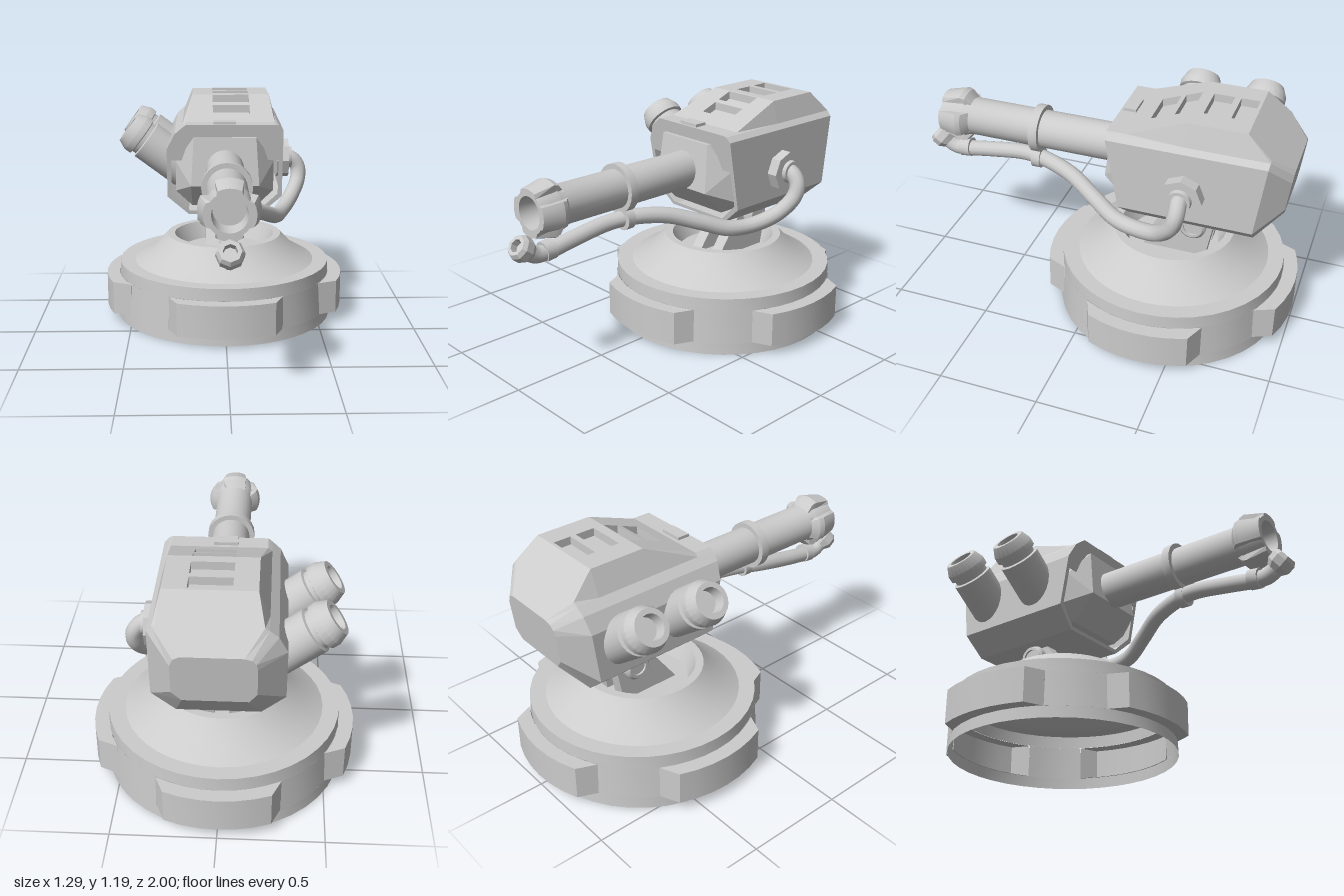
import * as THREE from 'three';
import { toCreasedNormals } from 'three/addons/utils/BufferGeometryUtils.js';
import { ConvexGeometry } from 'three/addons/geometries/ConvexGeometry.js';

const smooth = new THREE.MeshStandardMaterial({ color: 0xcccccc, side: THREE.DoubleSide });
const flat = new THREE.MeshStandardMaterial({ color: 0xcccccc, side: THREE.DoubleSide, flatShading: true });

const BASE_Z = -0.36;

const vec2 = (list) => list.map(([a, b]) => new THREE.Vector2(a, b));
const vec3 = (list) => list.map((p) => new THREE.Vector3(...p));

function add(parent, name, geometry, material = flat) {
  const mesh = new THREE.Mesh(geometry, material);
  mesh.name = name;
  parent.add(mesh);
  return mesh;
}

// Turned part around y, given [radius, height] pairs
const turned = (profile, segments = 32, start = 0, sweep = Math.PI * 2) =>
  toCreasedNormals(new THREE.LatheGeometry(vec2(profile), segments, start, sweep), 0.45);

// Raised part of a ring, centred on +z, whose ends slope down to the inner radius
function raisedSector(profile, half, segments, inner) {
  const geometry = new THREE.LatheGeometry(vec2(profile), segments, -half, half * 2);
  const p = geometry.attributes.position;
  for (let i = 0; i < p.count; i++) {
    const r = Math.hypot(p.getX(i), p.getZ(i));
    if (Math.abs(Math.atan2(p.getX(i), p.getZ(i))) > half - 0.01) {
      p.setX(i, p.getX(i) * inner / r);
      p.setZ(i, p.getZ(i) * inner / r);
    }
  }
  return toCreasedNormals(geometry, 0.3);
}

function buildBase() {
  const base = new THREE.Group();
  base.name = 'base';
  base.position.z = BASE_Z;
  add(base, 'baseFoot', turned([[0.585, 0], [0.582, 0.06]], 40), smooth);
  add(base, 'baseTop', turned([
    [0.573, 0.235], [0.57, 0.3], [0.49, 0.3], [0.385, 0.36], [0.31, 0.44], [0.27, 0.44], [0.23, 0.35], [0, 0.35],
  ], 40), smooth);

  // Four hollow blocks with wall panels between them
  const half = 0.53;
  const block = raisedSector([[0.575, 0.06], [0.645, 0.06], [0.645, 0.235], [0.575, 0.235]], half, 8, 0.577);
  const wall = turned([[0.582, 0.06], [0.573, 0.235]], 4, half, Math.PI / 2 - 2 * half);
  for (let i = 0; i < 4; i++) {
    add(base, 'baseBlock', block, smooth).rotation.y = i * Math.PI / 2;
    add(base, 'baseWall', wall, smooth).rotation.y = i * Math.PI / 2;
  }
  return base;
}

function buildYoke() {
  const yoke = new THREE.Group();
  yoke.name = 'yoke';
  const arm = new THREE.Shape();
  arm.moveTo(-0.55, 0.34);
  arm.lineTo(-0.22, 0.34);
  arm.lineTo(-0.415, 0.605);
  arm.absarc(-0.485, 0.535, 0.1, Math.PI / 4, Math.PI);
  const thickness = 0.065;
  const armGeometry = new THREE.ExtrudeGeometry(arm, { depth: thickness, bevelEnabled: false, curveSegments: 10 })
    .rotateY(-Math.PI / 2).translate(thickness / 2, 0, 0);
  const bolt = turned([[0, -0.06], [0.07, -0.06], [0.07, 0.03], [0.055, 0.045], [0.04, 0.045], [0.04, 0.035], [0, 0.035]], 16)
    .rotateZ(-Math.PI / 2);
  for (const s of [-1, 1]) {
    add(yoke, 'yokeArm', armGeometry).position.x = s * 0.068;
    const b = add(yoke, 'yokeBolt', bolt, smooth);
    b.position.set(s * 0.1, 0.535, -0.485);
    if (s < 0) b.rotation.y = Math.PI;
  }
  return yoke;
}

// Head outline in x, y; only the roof edge varies along the body
const outline = (roof, left, right) => [
  [-0.19, 0.592], [0.19, 0.592], [0.3, 0.69], [0.3, 1.05], [0.275, 1.075],
  [right, roof], [left, roof], [-0.22, 1.065], [-0.26, 1.03], [-0.3, 0.95], [-0.3, 0.69],
];
const LOW = outline(1.08, -0.2, 0.26);
const HIGH = outline(1.187, -0.17, 0.245);
const RAMP = { z0: -0.18, z1: -0.46, z2: -0.745, low: 1.08, high: 1.187 };
const roofY = (z) => THREE.MathUtils.mapLinear(
  THREE.MathUtils.clamp(z, RAMP.z1, RAMP.z0), RAMP.z0, RAMP.z1, RAMP.low, RAMP.high);
const frontZ = (y) => -0.085 - (1.08 - y) * 0.18;

function buildHead() {
  const head = new THREE.Group();
  head.name = 'head';
  const at = (pts, z) => pts.map(([x, y]) => [x, y, typeof z === 'function' ? z(y) : z]);
  const back = [[-0.14, 0.745], [0.15, 0.745], [0.195, 0.79], [0.195, 0.94], [0.18, 0.975],
    [0.15, 0.99], [-0.12, 0.99], [-0.15, 0.98], [-0.17, 0.96], [-0.175, 0.93], [-0.175, 0.79]];
  const sections = [
    at(LOW, frontZ),
    at(LOW, RAMP.z0),
    at(HIGH, RAMP.z1),
    at(HIGH, RAMP.z2),
    at(LOW, (y) => -0.8 - (y - 0.592) * 0.125),
    at(back, (y) => -0.93 - (y - 0.745) * 0.12),
  ];
  const n = back.length, index = [];
  for (let i = 0; i < sections.length - 1; i++) {
    for (let j = 0; j < n; j++) {
      if (j === 5 && (i === 1 || i === 2)) continue; // vented roof goes here
      const a = i * n + j, b = i * n + (j + 1) % n;
      index.push(a, a + n, b, b, a + n, b + n);
    }
  }
  const last = (sections.length - 1) * n;
  for (let j = 1; j < n - 1; j++) index.push(last, last + j + 1, last + j);
  const shell = new THREE.BufferGeometry();
  shell.setAttribute('position', new THREE.Float32BufferAttribute(sections.flat(2), 3));
  shell.setIndex(index);
  shell.computeVertexNormals();
  add(head, 'headShell', shell);

  // Front face with an opening around the barrel mount
  const face = new THREE.Shape(vec2(LOW));
  face.holes.push(new THREE.Path(vec2([[-0.278, 0.89], [-0.278, 0.705], [-0.18, 0.61], [0.18, 0.61], [0.278, 0.705], [0.278, 0.89]])));
  const faceGeometry = new THREE.ShapeGeometry(face);
  const fp = faceGeometry.attributes.position;
  for (let i = 0; i < fp.count; i++) fp.setZ(i, frontZ(fp.getY(i)));
  add(head, 'headFront', faceGeometry);

  // Roof panels with sunken vents; shape y stands for -z
  const x0 = -0.06, x1 = 0.135;
  const panels = [
    { corners: [[-0.2, -RAMP.z0], [0.26, -RAMP.z0], [0.245, -RAMP.z1], [-0.17, -RAMP.z1]], vents: [[0.26, 0.35], [0.375, 0.455]] },
    { corners: [[-0.17, -RAMP.z1], [0.245, -RAMP.z1], [0.245, -RAMP.z2], [-0.17, -RAMP.z2]], vents: [[0.51, 0.61], [0.64, 0.73]] },
  ];
  for (const { corners, vents } of panels) {
    const panel = new THREE.Shape(vec2(corners));
    for (const [a, b] of vents) {
      panel.holes.push(new THREE.Path(vec2([[x0, a], [x0, b], [x1, b], [x1, a]])));
      const pocket = new THREE.BoxGeometry(x1 - x0, 0.04, b - a).translate((x0 + x1) / 2, -0.02, -(a + b) / 2);
      const ids = Array.from(pocket.index.array);
      ids.splice(12, 6); // open top
      pocket.setIndex(ids);
      const pp = pocket.attributes.position;
      for (let i = 0; i < pp.count; i++) pp.setY(i, pp.getY(i) + roofY(pp.getZ(i)));
      add(head, 'ventPocket', pocket);
    }
    const roof = new THREE.ShapeGeometry(panel).rotateX(-Math.PI / 2);
    const rp = roof.attributes.position;
    for (let i = 0; i < rp.count; i++) rp.setY(i, roofY(rp.getZ(i)));
    add(head, 'roofPanel', roof);
  }

  // Faceted mount behind the barrel
  const mount = [];
  for (const s of [-1, 1]) {
    mount.push([s * 0.16, 1.015, -0.075], [s * 0.175, 0.77, -0.045], [s * 0.17, 0.64, -0.17],
      [s * 0.255, 0.88, -0.15], [s * 0.255, 0.72, -0.17],
      [s * 0.16, 1.015, -0.3], [s * 0.255, 0.88, -0.3], [s * 0.255, 0.72, -0.3], [s * 0.17, 0.64, -0.3]);
  }
  add(head, 'barrelMount', new ConvexGeometry(vec3(mount)));
  add(head, 'frontLatch', new THREE.BoxGeometry(0.115, 0.055, 0.065)).position.set(0, 1.067, -0.13);

  // Slanted canisters on the right side
  const canister = turned([[0, -0.1], [0.107, -0.1], [0.107, 0.165], [0.092, 0.17], [0.092, 0.19],
    [0.107, 0.195], [0.107, 0.23], [0.085, 0.28], [0.06, 0.28], [0.055, 0.22], [0, 0.22]], 24);
  for (const z of [-0.68, -0.345]) {
    const c = add(head, 'canister', canister, smooth);
    c.position.set(-0.285, 0.86, z);
    c.rotation.z = 0.927;
  }
  return head;
}

function buildBarrel() {
  const barrel = new THREE.Group();
  barrel.name = 'barrel';
  barrel.position.y = 0.857;
  const tube = [[0, -0.1], [0.097, -0.1], [0.097, 0.34], [0.122, 0.34], [0.122, 0.385], [0.097, 0.385],
    [0.097, 0.73], [0.11, 0.77], [0.102, 0.885], [0.08, 0.885], [0.074, 0.78], [0, 0.78]];
  add(barrel, 'barrelTube', turned(tube, 24).rotateX(Math.PI / 2), smooth);
  // Broad flared prongs with narrow gaps between them
  const prong = raisedSector([[0.097, 0.73], [0.132, 0.76], [0.14, 0.785], [0.115, 0.888], [0.085, 0.888]], 0.62, 8, 0.1)
    .rotateX(Math.PI / 2);
  for (let i = 0; i < 4; i++) add(barrel, 'muzzleProng', prong, smooth).rotation.z = i * Math.PI / 2;
  return barrel;
}

function buildHose() {
  const hose = new THREE.Group();
  hose.name = 'hose';
  const path = new THREE.CatmullRomCurve3(vec3([
    [0.3, 0.84, -0.475], [0.37, 0.835, -0.475], [0.41, 0.785, -0.475], [0.41, 0.72, -0.455],
    [0.365, 0.635, -0.38], [0.305, 0.588, -0.25], [0.265, 0.592, -0.13], [0.2, 0.64, 0], [0.12, 0.693, 0.15],
    [0.055, 0.712, 0.32], [0.015, 0.702, 0.45], [0, 0.67, 0.65], [0, 0.65, 0.79], [0, 0.65, 0.86], [0, 0.69, 0.925],
  ]));
  add(hose, 'hoseTube', new THREE.TubeGeometry(path, 110, 0.041, 12), smooth);

  // Octagonal socket on the left side of the head
  add(hose, 'hoseSocket', new THREE.CylinderGeometry(0.105, 0.105, 0.065, 8).rotateZ(Math.PI / 2))
    .position.set(0.323, 0.835, -0.475);
  add(hose, 'socketCollar', turned([[0, 0], [0.06, 0], [0.055, 0.025], [0, 0.025]], 16).rotateZ(-Math.PI / 2), smooth)
    .position.set(0.35, 0.838, -0.475);
  const ring = (name, r, length, p, tilt = 0) => {
    const m = add(hose, name, toCreasedNormals(new THREE.CylinderGeometry(r, r, length, 16).rotateX(Math.PI / 2), 0.5), smooth);
    m.position.set(...p);
    m.rotation.x = tilt;
  };
  ring('hoseClip', 0.055, 0.045, [0.045, 0.712, 0.3625]);
  ring('hoseCollar', 0.05, 0.055, [0, 0.655, 0.795], 0.1);

  // Upturned nozzle tip
  const tip = add(hose, 'nozzleTip', turned([[0, -0.035], [0.042, -0.035], [0.063, -0.005], [0.063, 0.035],
    [0.05, 0.055], [0.032, 0.055], [0.03, 0.02], [0, 0.02]], 8).rotateX(Math.PI / 2));
  tip.position.set(0, 0.69, 0.922);
  tip.rotation.x = -0.66;
  return hose;
}

export function createModel() {
  const model = new THREE.Group();
  model.name = 'turret';
  model.add(buildBase(), buildYoke(), buildHead(), buildBarrel(), buildHose());
  return model;
}
